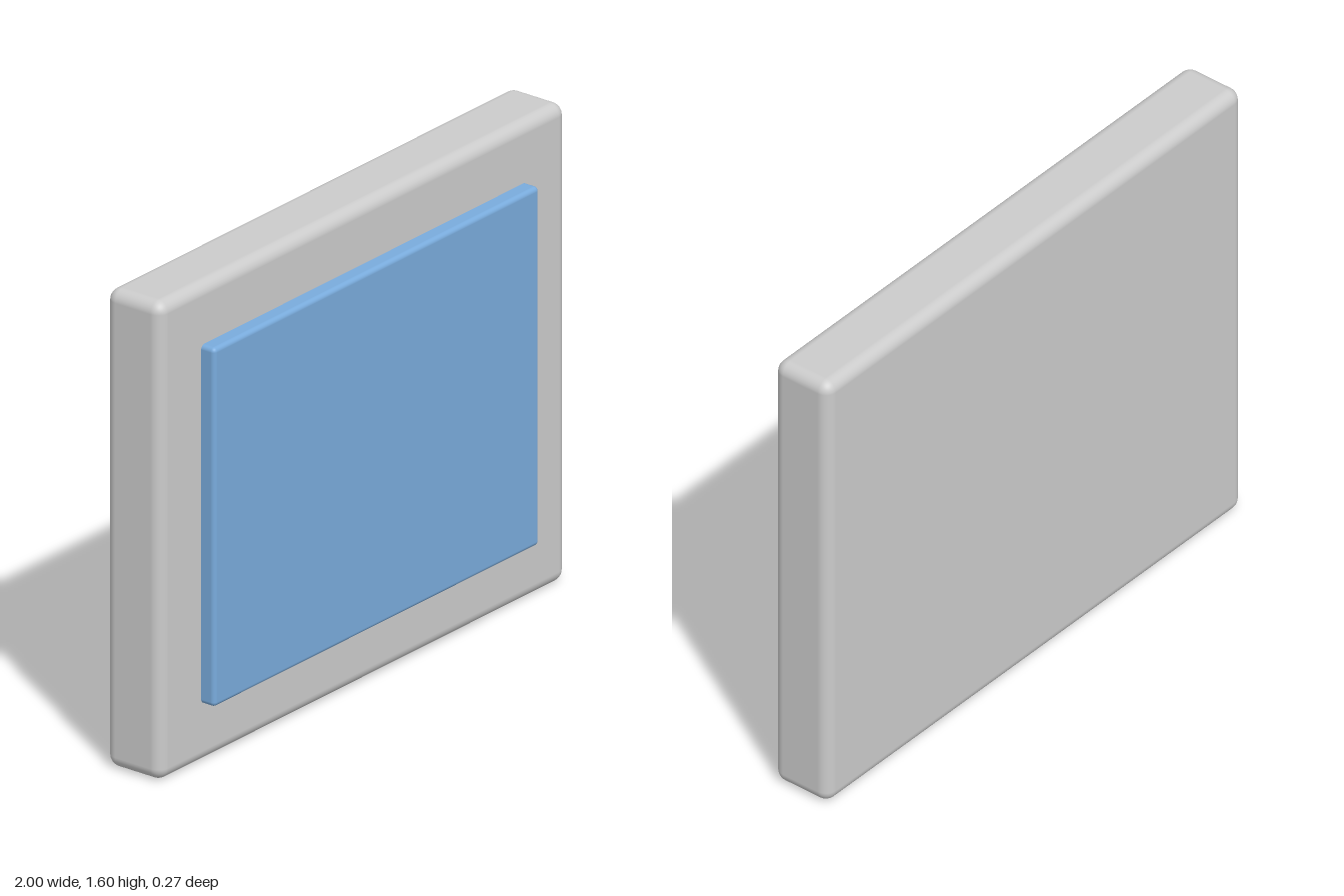
import * as THREE from 'three';
import { RoundedBoxGeometry } from 'three/addons/geometries/RoundedBoxGeometry.js';

// Rounded slab spanning zBack..zFront, centred on x = 0 and y = 0.8
function slab(name, width, height, zBack, zFront, radius, color) {
  const geometry = new RoundedBoxGeometry(width, height, zFront - zBack, 5, radius);
  const mesh = new THREE.Mesh(geometry, new THREE.MeshStandardMaterial({ color }));
  mesh.name = name;
  mesh.position.set(0, 0.8, (zBack + zFront) / 2);
  return mesh;
}

export function createModel() {
  const group = new THREE.Group();
  group.name = 'framedPanel';
  // Thick backing body
  group.add(slab('body', 2, 1.6, -0.135, 0.083, 0.04, 0xcccccc));
  // Raised screen, its back edge sunk into the body
  group.add(slab('screen', 1.6, 1.2, 0.05, 0.135, 0.015, 0x79abdc));
  return group;
}
